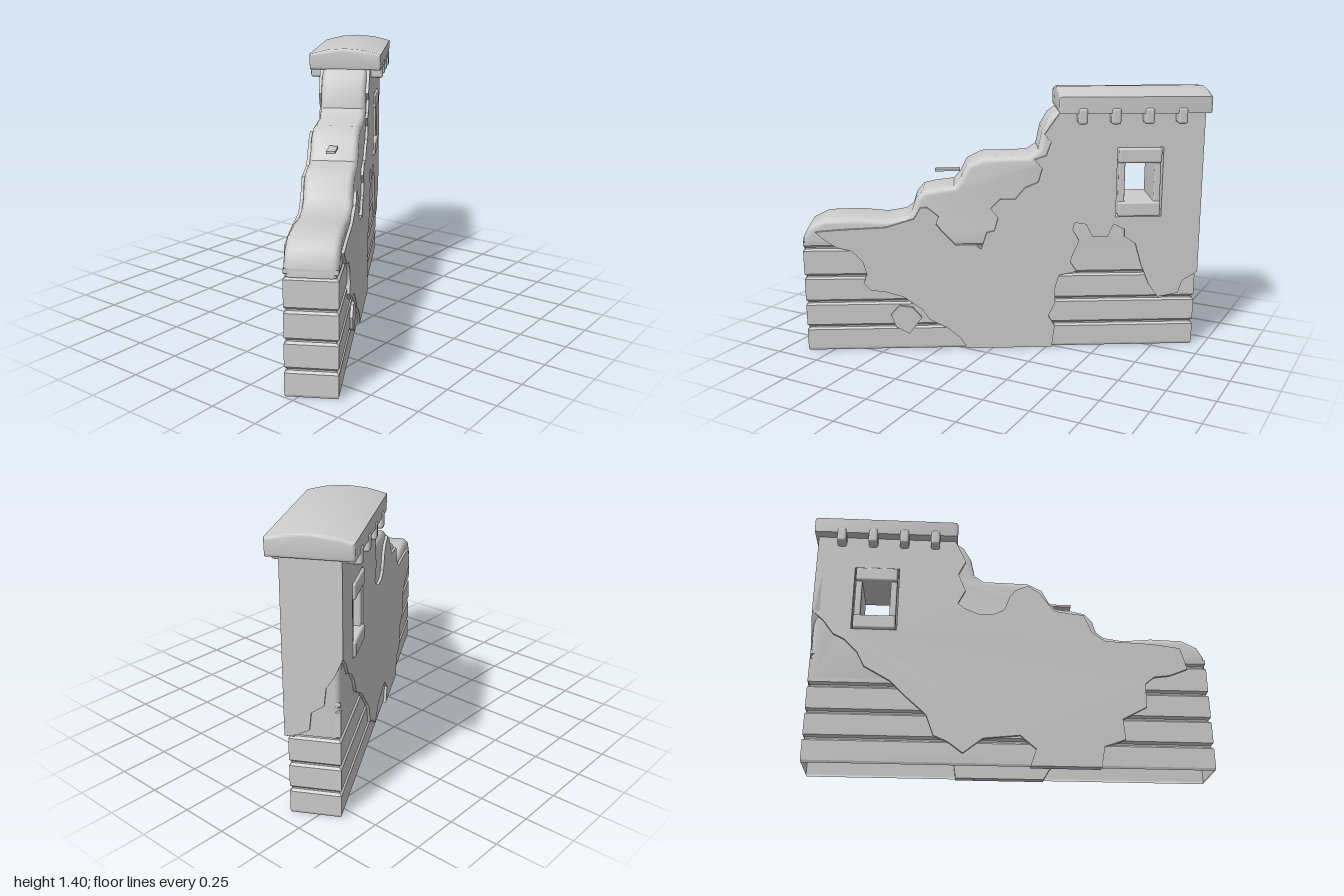
import * as THREE from 'three';
import { toCreasedNormals } from 'three/addons/utils/BufferGeometryUtils.js';
import { RoundedBoxGeometry } from 'three/addons/geometries/RoundedBoxGeometry.js';

const stone = new THREE.MeshStandardMaterial({ color: 0xcccccc, side: THREE.DoubleSide });
stone.name = 'stone';

const HALF = 0.1235; // half thickness of the masonry
const SKIN = 0.138; // half thickness including plaster
const WINDOW = [[0.56, 0.73], [0.8, 0.73], [0.8, 1.1], [0.56, 1.1]];

const path = (Type, pts) => new Type(pts.map(([x, y]) => new THREE.Vector2(x, y)));

// Outline in length/height, pushed from z0 to z1, optionally bevelled
function slab(pts, z0, z1, hole, bevel = 0) {
  const shape = path(THREE.Shape, pts);
  if (hole) shape.holes.push(path(THREE.Path, hole));
  const geo = new THREE.ExtrudeGeometry(shape, {
    depth: z1 - z0 - 2 * bevel,
    bevelEnabled: bevel > 0,
    bevelSize: bevel, bevelThickness: bevel, bevelOffset: -bevel, bevelSegments: 3,
  });
  geo.translate(0, 0, z0 + bevel);
  return toCreasedNormals(geo, 0.7);
}

// Open rectangular tube: a profile of [inset, height] carried around four corners
function courses(profile, x0, x1, halfZ) {
  const corners = [[0, 1], [1, 1], [1, 0], [0, 0]];
  const point = (c, [inset, y]) => [
    c[0] ? x1 - inset : x0 + inset, y, c[1] ? halfZ - inset : inset - halfZ];
  const pos = [];
  corners.forEach((a, i) => {
    const b = corners[(i + 1) % 4];
    for (let j = 0; j < profile.length - 1; j++) {
      const [p, q, r, s] = [point(a, profile[j]), point(b, profile[j]),
        point(b, profile[j + 1]), point(a, profile[j + 1])];
      pos.push(...p, ...q, ...r, ...p, ...r, ...s);
    }
  });
  const geo = new THREE.BufferGeometry();
  geo.setAttribute('position', new THREE.Float32BufferAttribute(pos, 3));
  geo.computeVertexNormals();
  return geo;
}

export function createModel() {
  const model = new THREE.Group();
  model.name = 'ruinedWall';
  const wall = new THREE.Group();
  wall.name = 'wall';
  wall.rotation.y = Math.PI / 6;
  wall.position.set(0.007, 0, 0.012);
  model.add(wall);
  const add = (name, geo, x = 0, y = 0, z = 0) => {
    const mesh = new THREE.Mesh(geo, stone);
    mesh.name = name;
    mesh.position.set(x, y, z);
    wall.add(mesh);
    return mesh;
  };

  // Brick courses with grooves, hollow and open underneath
  const profile = [[0.004, 0]];
  for (const y of [0.13, 0.27, 0.415, 0.572]) {
    profile.push([0, profile.length === 1 ? 0.012 : profile.at(-1)[1] + 0.012]);
    profile.push([0, y - 0.014], [0.012, y - 0.004], [0.012, y + 0.004]);
  }
  profile.push([0.001, 0.588], [0.001, 0.61]);
  add('brickCourses', courses(profile, -1.085, 1.0, HALF));

  // Upper masonry with the broken, stepped top
  add('steppedMasonry', slab([
    [-1.085, 0.57], [-1.083, 0.63], [-1.05, 0.69], [-0.97, 0.73], [-0.8, 0.735], [-0.65, 0.72],
    [-0.55, 0.735], [-0.51, 0.765], [-0.49, 0.83], [-0.45, 0.875], [-0.38, 0.89], [-0.29, 0.9],
    [-0.255, 0.94], [-0.22, 1.01], [-0.14, 1.05], [0.1, 1.055], [0.15, 1.09], [0.17, 1.19],
    [0.21, 1.26], [0.28, 1.31], [1.0, 1.31], [1.0, 0.425], [0.05, 0.425], [0.0, 0.57],
  ], -HALF, HALF, WINDOW, 0.03));

  // Plaster skins, torn away in patches
  add('frontPlaster', slab([
    [-0.23, 0], [-0.265, 0.06], [-0.335, 0.12], [-0.43, 0.17], [-0.47, 0.23], [-0.565, 0.3],
    [-0.66, 0.33], [-0.74, 0.34], [-0.775, 0.38], [-0.755, 0.43], [-0.775, 0.5], [-0.83, 0.56],
    [-0.91, 0.58], [-0.98, 0.63], [-1.015, 0.665], [-0.89, 0.675], [-0.65, 0.685], [-0.5, 0.73],
    [-0.465, 0.79], [-0.43, 0.79], [-0.37, 0.74], [-0.385, 0.7], [-0.355, 0.66], [-0.285, 0.585],
    [-0.18, 0.585], [-0.15, 0.56], [-0.12, 0.65], [-0.08, 0.66], [-0.06, 0.73], [-0.1, 0.78],
    [-0.05, 0.83], [0.03, 0.83], [0.08, 0.89], [0.15, 0.92], [0.17, 0.99], [0.13, 1.04],
    [0.19, 1.06], [0.215, 1.13], [0.18, 1.17], [0.25, 1.27], [0.28, 1.3], [1.01, 1.3],
    [1.01, 0.42], [0.93, 0.37], [0.91, 0.3], [0.8, 0.28], [0.75, 0.35], [0.705, 0.46],
    [0.67, 0.58], [0.61, 0.62], [0.61, 0.66], [0.55, 0.69], [0.52, 0.62], [0.44, 0.62],
    [0.405, 0.69], [0.345, 0.7], [0.335, 0.66], [0.37, 0.6], [0.335, 0.52], [0.325, 0.48],
    [0.36, 0.43], [0.265, 0.41], [0.245, 0.34], [0.245, 0.25], [0.21, 0.18], [0.245, 0.12], [0.23, 0],
  ], HALF - 0.03, SKIN, WINDOW));
  add('backPlaster', slab([
    [1.01, 0.83], [0.95, 0.78], [0.89, 0.7], [0.83, 0.67], [0.76, 0.6], [0.72, 0.52], [0.58, 0.44],
    [0.49, 0.35], [0.39, 0.26], [0.35, 0.15], [0.28, 0.12], [0.2, 0.06], [0.1, 0.14], [-0.09, 0.16],
    [-0.17, 0.09], [-0.14, 0], [-0.5, 0], [-0.52, 0.11], [-0.63, 0.15], [-0.62, 0.26],
    [-0.75, 0.33], [-0.75, 0.46], [-0.8, 0.5], [-0.88, 0.51], [-0.98, 0.55], [-0.95, 0.67],
    [-0.8, 0.69], [-0.55, 0.7], [-0.48, 0.75], [-0.44, 0.85], [-0.28, 0.87], [-0.2, 0.98],
    [-0.14, 1.02], [-0.07, 0.99], [-0.04, 0.95], [-0.01, 0.87], [0.05, 0.84], [0.13, 0.84],
    [0.2, 0.87], [0.24, 0.9], [0.2, 0.98], [0.24, 1.08], [0.2, 1.16], [0.25, 1.27], [0.28, 1.3], [1.01, 1.3],
  ], -SKIN, 0.03 - HALF, WINDOW));
  const end = slab([
    [-SKIN, 0.42], [-0.08, 0.43], [-0.02, 0.46], [-0.01, 0.55], [0.05, 0.59], [0.06, 0.68],
    [0.1, 0.74], [SKIN, 0.83], [SKIN, 1.3], [-SKIN, 1.3],
  ], 0.97, 1.01);
  add('endPlaster', end.rotateY(Math.PI / 2));
  add('plasterChip', slab([
    [-0.635, 0.2], [-0.59, 0.25], [-0.52, 0.24], [-0.47, 0.18], [-0.54, 0.09], [-0.61, 0.13],
  ], HALF - 0.01, SKIN));

  // Window surround
  for (const [name, y] of [['windowSill', 0.772], ['windowLintel', 1.058]]) {
    add(name, new RoundedBoxGeometry(0.225, 0.08, 0.3, 2, 0.012), 0.68, y, 0);
  }
  for (const side of [-1, 1]) {
    add('windowJamb', new RoundedBoxGeometry(0.035, 0.24, 0.27, 2, 0.008), 0.68 + side * 0.094, 0.915, 0);
  }

  // Coping slab with a gently arched top
  const cap = slab([
    [-0.196, 1.285], [0.196, 1.285], [0.198, 1.37], [0.1, 1.394], [0, 1.402], [-0.1, 1.394], [-0.198, 1.37],
  ], 0.247, 1.03, null, 0.014);
  add('coping', cap.rotateY(Math.PI / 2));

  // Corbels under the coping on both faces
  for (const x of [0.37, 0.54, 0.71, 0.88]) {
    for (const side of [-1, 1]) {
      add('corbel', new RoundedBoxGeometry(0.05, 0.085, 0.1, 2, 0.014), x, 1.272, side * 0.153);
    }
  }

  // Loose splinter poking out of a step
  add('splinter', new THREE.BoxGeometry(0.13, 0.012, 0.045), -0.323, 0.965, 0);

  return model;
}
